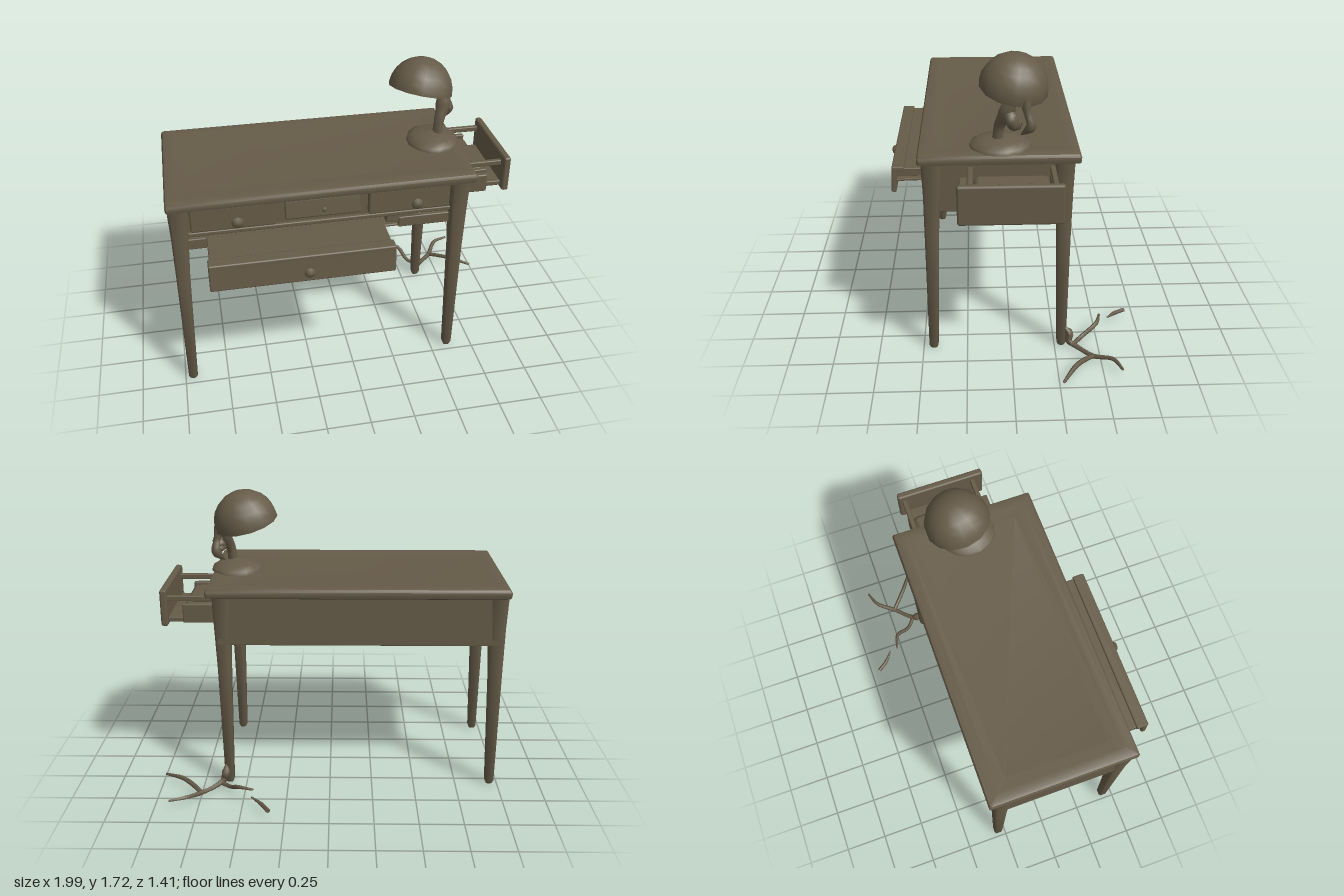
import * as THREE from 'three';
import { toCreasedNormals } from 'three/addons/utils/BufferGeometryUtils.js';
import { RoundedBoxGeometry } from 'three/addons/geometries/RoundedBoxGeometry.js';

const wood = new THREE.MeshStandardMaterial({ color: 0x665b48 });
wood.name = 'darkWood';
wood.side = THREE.DoubleSide;

export function createModel() {
  const model = new THREE.Group();

  function add(name, geometry, parent = model) {
    const mesh = new THREE.Mesh(geometry, wood);
    mesh.name = name;
    parent.add(mesh);
    return mesh;
  }

  // Box given by its limits on each axis, with softened edges
  function box(name, [x0, x1], [y0, y1], [z0, z1], r = 0.006, parent = model) {
    const mesh = add(name, new RoundedBoxGeometry(x1 - x0, y1 - y0, z1 - z0, 1, r), parent);
    mesh.position.set((x0 + x1) / 2, (y0 + y1) / 2, (z0 + z1) / 2);
    return mesh;
  }

  // Stack of chamfered rectangles: each ring is [cx, y, cz, halfX, halfZ, chamfer]
  function loft(rings, crease = 0.7) {
    const pos = [], index = [], n = 8;
    for (const [cx, y, cz, a, b, c] of rings) {
      const outline = [[a, b - c], [a - c, b], [c - a, b], [-a, b - c],
        [-a, c - b], [c - a, -b], [a - c, -b], [a, c - b]];
      for (const [x, z] of outline) pos.push(cx + x, y, cz + z);
    }
    for (let r = 0; r < rings.length - 1; r++) {
      for (let i = 0; i < n; i++) {
        const a = r * n + i, b = r * n + (i + 1) % n;
        index.push(a, b, a + n, b, b + n, a + n);
      }
    }
    const top = (rings.length - 1) * n;
    for (let i = 1; i < n - 1; i++) {
      index.push(0, i + 1, i);
      index.push(top, top + i, top + i + 1);
    }
    // the outline runs clockwise seen from above, so flip every face outwards
    for (let i = 0; i < index.length; i += 3) [index[i + 1], index[i + 2]] = [index[i + 2], index[i + 1]];
    const g = new THREE.BufferGeometry();
    g.setAttribute('position', new THREE.Float32BufferAttribute(pos, 3));
    g.setIndex(index);
    return toCreasedNormals(g, crease);
  }

  // Desk top with a rounded rim and shallow dished centre
  const topRings = [[0.03, 1.178], [0.004, 1.19], [0, 1.205], [0, 1.225], [0.008, 1.24],
    [0.025, 1.246], [0.07, 1.245], [0.13, 1.236]];
  add('deskTop', loft(topRings.map(([inset, y]) =>
    [-0.155, y, 0.065, 0.845 - inset, 0.425 - inset, 0.008])));

  // Tapered legs
  for (const [name, x, foot] of [['left', 0.605, 0.602], ['right', -0.94, -0.955]]) {
    for (const [end, z, footZ] of [['Front', 0.42, 0.442], ['Back', -0.28, -0.29]]) {
      add(name + end + 'Leg', loft([
        [foot, 0.01, footZ, 0.018, 0.018, 0.008],
        [foot, 0.03, footZ, 0.026, 0.026, 0.01],
        [x * 0.6 + foot * 0.4, 0.75, z * 0.6 + footZ * 0.4, 0.038, 0.038, 0.013],
        [x, 1.0, z, 0.046, 0.046, 0.014],
        [x, 1.185, z, 0.052, 0.052, 0.014]], 0.9));
    }
  }

  // Frame under the top
  box('backApron', [-0.97, 0.64], [0.9, 1.19], [-0.325, -0.29]);
  box('rightApron', [-0.982, -0.94], [0.9, 1.19], [-0.3, 0.44]);
  box('leftApron', [0.6, 0.64], [0.9, 1.19], [-0.3, 0.44]);
  box('bottomPanel', [-0.96, 0.62], [0.9, 0.915], [-0.3, 0.4]);
  box('frontBacking', [-0.92, 0.6], [1.0, 1.19], [0.38, 0.415]);
  box('frontShelf', [-0.92, 0.58], [0.995, 1.02], [0.36, 0.435]);
  box('lowerLeftRail', [0.27, 0.57], [0.905, 0.97], [0.38, 0.42]);
  box('lowerRightRail', [-0.91, -0.8], [0.905, 0.97], [0.38, 0.42]);
  const block = box('wornBlock', [0.2, 0.4], [0.93, 0.995], [0.37, 0.415]);
  block.rotation.z = -0.12;

  // Turned knob pointing forwards
  const knobProfile = [[0, 0], [0.014, 0], [0.012, 0.012], [0.032, 0.024], [0.034, 0.034],
    [0.02, 0.046], [0, 0.05]].map(([r, y]) => new THREE.Vector2(r, y));
  function knob(name, x, y, z, size) {
    const mesh = add(name, new THREE.LatheGeometry(knobProfile, 8));
    mesh.rotation.x = Math.PI / 2;
    mesh.scale.setScalar(size);
    mesh.position.set(x, y, z);
  }

  // Three small drawers, the middle one sagging
  for (const [name, x0, x1, knobX, size] of [['right', -0.88, -0.42, -0.63, 1],
    ['middle', -0.37, 0.05, -0.155, 0.45], ['left', 0.09, 0.55, 0.355, 1]]) {
    const middle = name === 'middle';
    const front = box(name + 'DrawerFront', [x0, x1], middle ? [1.04, 1.155] : [1.03, 1.175],
      middle ? [0.4, 0.43] : [0.4, 0.45], 0.01);
    if (middle) front.rotation.x = -0.12;
    knob(name + 'DrawerKnob', knobX, 1.088, middle ? 0.425 : 0.448, size);
  }

  // Wide drawer pulled out at the front
  const wide = new THREE.Group();
  wide.name = 'wideDrawer';
  model.add(wide);
  box('wideDrawerFront', [-0.81, 0.195], [0.8, 0.955], [0.645, 0.675], 0.008, wide).rotation.x = -0.06;
  box('wideDrawerLid', [-0.8, 0.185], [0.9, 0.948], [0.38, 0.66], 0.006, wide);
  box('wideDrawerLip', [-0.81, 0.195], [0.925, 0.96], [0.6, 0.672], 0.008, wide);
  const tray = box('wideDrawerFloor', [-0.78, 0.165], [0.866, 0.88], [-0.13, 0.65], 0.004, wide);
  tray.rotation.x = 0.025;
  knob('wideDrawerKnob', -0.28, 0.865, 0.665, 0.9);

  // Side drawer pulled out on the left
  const side = new THREE.Group();
  side.name = 'sideDrawer';
  model.add(side);
  box('sideDrawerFront', [0.922, 0.962], [0.985, 1.2], [-0.252, 0.282], 0.012, side);
  box('sideDrawerFloor', [0.62, 0.93], [1.0, 1.03], [-0.215, 0.24], 0.006, side);
  for (const z of [-0.215, 0.215]) {
    box('sideDrawerRail', [0.62, 0.93], [1.128, 1.16], [z - 0.014, z + 0.014], 0.006, side);
    box('sideDrawerWall', [0.62, 0.84], [1.0, 1.11], [z - 0.014, z + 0.014], 0.006, side);
  }
  box('sideDrawerRunner', [0.62, 0.83], [0.99, 1.1], [0.235, 0.275], 0.008, side);
  const filling = box('sideDrawerFilling', [0.62, 0.84], [1.02, 1.105], [-0.2, 0.2], 0.03, side);
  filling.rotation.z = -0.04;

  // Lamp base: low worn mound
  const mound = add('lampBase', new THREE.LatheGeometry(
    [[0.15, 0], [0.145, 0.02], [0.11, 0.042], [0.06, 0.055], [0, 0.068]]
      .reverse().map(([r, y]) => new THREE.Vector2(r, y)), 14));
  mound.position.set(0.55, 1.242, 0.055);
  mound.scale.z = 1.1;

  // Tapering tube along a smooth path, with closed ends
  function limb(name, points, radii, sides = 6, steps = 10) {
    const curve = new THREE.CatmullRomCurve3(points.map(p => new THREE.Vector3(...p)));
    const g = new THREE.TubeGeometry(curve, steps, 1, sides);
    const pos = g.attributes.position, v = new THREE.Vector3();
    for (let i = 0; i < pos.count; i++) {
      const t = Math.floor(i / (sides + 1)) / steps;
      const centre = curve.getPointAt(t);
      const k = t * (radii.length - 1), j = Math.min(Math.floor(k), radii.length - 2);
      const r = THREE.MathUtils.lerp(radii[j], radii[j + 1], k - j);
      v.fromBufferAttribute(pos, i).sub(centre).multiplyScalar(r).add(centre);
      pos.setXYZ(i, v.x, v.y, v.z);
    }
    g.computeVertexNormals();
    add(name, g);
  }

  // Bent lamp arm and the broken hook behind it
  limb('lampArm', [[0.575, 1.29, 0.07], [0.585, 1.37, 0.06], [0.61, 1.44, 0.03], [0.63, 1.52, 0.0]],
    [0.03, 0.028, 0.034, 0.045, 0.03], 7);
  limb('lampJoint', [[0.62, 1.47, 0.02], [0.65, 1.42, 0.0], [0.63, 1.38, -0.02], [0.65, 1.4, -0.05]],
    [0.02, 0.035, 0.035, 0.005], 7);
  limb('lampHook', [[0.63, 1.52, -0.07], [0.645, 1.45, -0.08], [0.65, 1.39, -0.1], [0.61, 1.325, -0.05]],
    [0.03, 0.018, 0.03, 0.004], 7);

  // Tilted open dome shade
  const shade = add('lampShade', new THREE.SphereGeometry(0.185, 14, 6, 0, Math.PI * 2, 0, Math.PI / 2));
  shade.position.set(0.483, 1.537, -0.014);
  shade.quaternion.setFromUnitVectors(new THREE.Vector3(0, 1, 0),
    new THREE.Vector3(0.22, 0.96, -0.17).normalize());
  shade.scale.y = 1.02;

  // Roots creeping out from the back leg
  limb('rootKnot', [[0.62, 0.13, -0.31], [0.62, 0.09, -0.335], [0.63, 0.05, -0.33], [0.65, 0.03, -0.36]],
    [0.006, 0.026, 0.022, 0.012]);
  limb('mainRoot', [[0.63, 0.04, -0.33], [0.67, 0.028, -0.38], [0.75, 0.025, -0.46], [0.82, 0.055, -0.56],
    [0.915, 0.055, -0.6]], [0.016, 0.013, 0.014, 0.012, 0.007], 6, 14);
  limb('forkRoot', [[0.75, 0.025, -0.46], [0.79, 0.04, -0.42], [0.87, 0.055, -0.35], [0.99, 0.04, -0.27]],
    [0.013, 0.014, 0.013, 0.008]);
  limb('backRoot', [[0.65, 0.03, -0.35], [0.58, 0.035, -0.41], [0.53, 0.09, -0.5], [0.44, 0.09, -0.53]],
    [0.013, 0.012, 0.013, 0.007]);
  limb('looseRoot', [[0.34, 0.052, -0.695], [0.385, 0.058, -0.63], [0.445, 0.072, -0.58]],
    [0.012, 0.012, 0.004]);

  return model;
}
